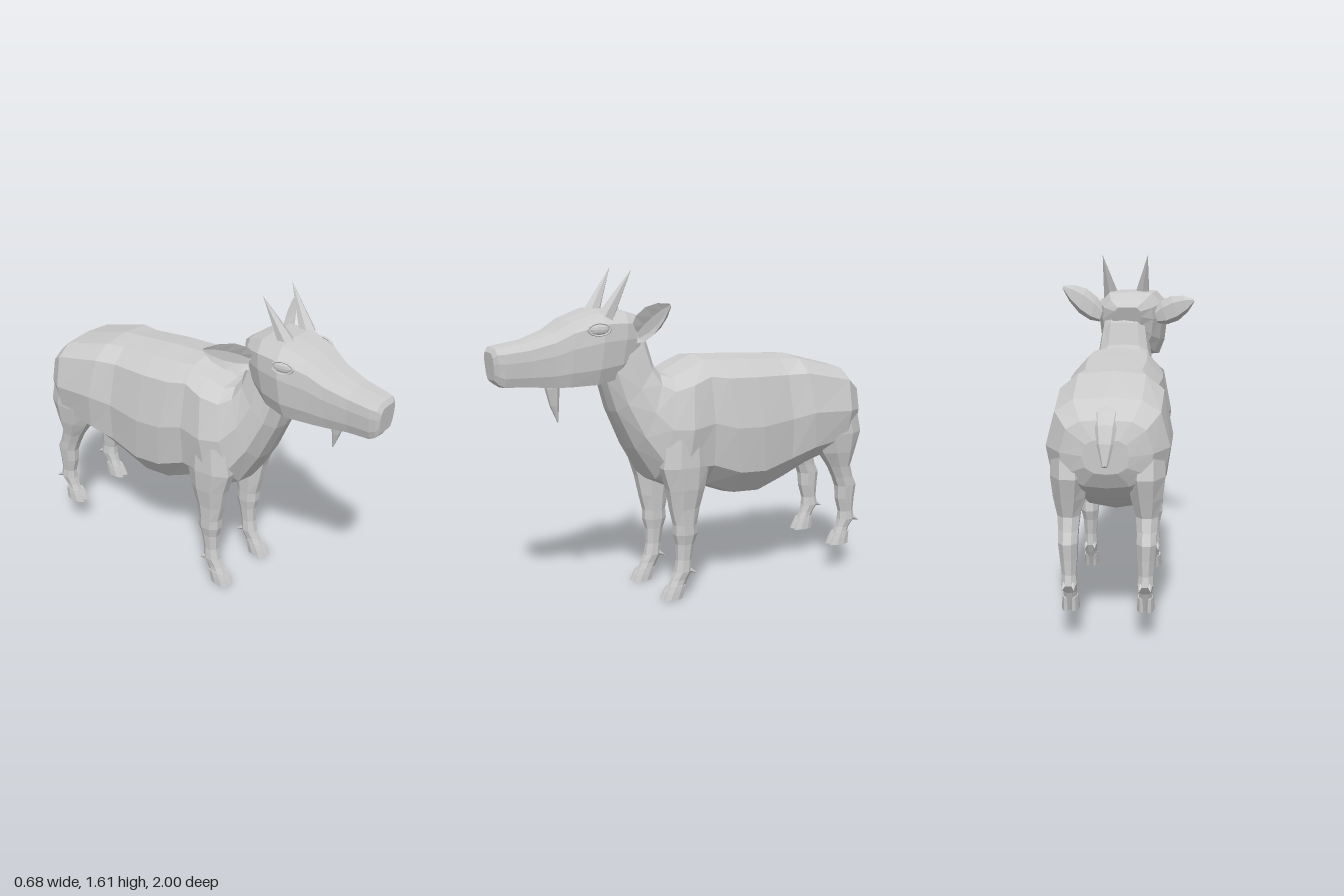
import * as THREE from 'three';

const coat = new THREE.MeshStandardMaterial({ color: 0xcccccc, flatShading: true });
coat.name = 'light grey coat';
const CX = 0.018; // body centre line
const V = (x, y, z) => new THREE.Vector3(x, y, z);

// Skin a list of equal-length rings, close both ends, keep faces outward.
function loft(name, rings) {
  const n = rings[0].length;
  const tris = [];
  for (let i = 0; i < rings.length - 1; i++) {
    for (let j = 0; j < n; j++) {
      const a = rings[i][j], b = rings[i][(j + 1) % n];
      const c = rings[i + 1][(j + 1) % n], d = rings[i + 1][j];
      tris.push([a, b, c], [a, c, d]);
    }
  }
  const cap = (ring, flip) => {
    const mid = ring.reduce((s, p) => s.add(p), V(0, 0, 0)).divideScalar(n);
    ring.forEach((p, j) => {
      const q = ring[(j + 1) % n];
      tris.push(flip ? [mid, q, p] : [mid, p, q]);
    });
  };
  cap(rings[0], true);
  cap(rings[rings.length - 1], false);
  let volume = 0;
  for (const [a, b, c] of tris) volume += a.dot(V(0, 0, 0).crossVectors(b, c));
  if (volume < 0) tris.forEach((t) => t.reverse());
  const geo = new THREE.BufferGeometry().setFromPoints(tris.flat());
  geo.computeVertexNormals();
  const mesh = new THREE.Mesh(geo, coat);
  mesh.name = name;
  return mesh;
}

// Ring between a top and a bottom point; half profile is [width, height] pairs.
function section(profile, [zt, yt, zb, yb, w, cx = CX]) {
  const at = (s) => ([u, t]) => V(cx + s * u * w, yb + (yt - yb) * t, zb + (zt - zb) * t);
  return [...profile.map(at(1)), ...profile.slice(1, -1).reverse().map(at(-1))];
}

// Horizontal eight-sided ring: height, front z, back z, half width, centre x.
function legRing([y, zf, zb, w, x]) {
  return Array.from({ length: 8 }, (_, i) => {
    const a = (i + 0.5) * Math.PI / 4;
    return V(x + w * 1.06 * Math.cos(a), y, (zf + zb) / 2 + (zf - zb) * 0.54 * Math.sin(a));
  });
}

// Tapered spike between two points
function spike(name, base, tip, radius, sides = 6) {
  const dir = tip.clone().sub(base);
  const geo = new THREE.ConeGeometry(radius, dir.length(), sides);
  const mesh = new THREE.Mesh(geo, coat);
  mesh.position.copy(base).addScaledVector(dir, 0.5);
  mesh.quaternion.setFromUnitVectors(V(0, 1, 0), dir.normalize());
  mesh.name = name;
  return mesh;
}

// Cupped leaf-shaped ear
function ear(name, root, tip, s) {
  const rows = [[0, 0.04, 0.025], [0.22, 0.065, 0.03], [0.5, 0.068, 0.026], [0.78, 0.045, 0.016], [1, 0.008, 0.004]];
  const up = V(-s * 0.28, 0.9, 0.2);
  return loft(name, rows.map(([t, w, d]) => {
    const c = root.clone().lerp(tip, t);
    const p = (u, z) => c.clone().addScaledVector(up, u * w).add(V(0, 0, z * d));
    return [p(1, 0.8), p(0.3, -0.1), p(-0.4, -0.1), p(-1, 0.8), p(-0.6, -0.8), p(0.5, -0.9)];
  }));
}

export function createModel() {
  const goat = new THREE.Group();
  goat.name = 'goat';

  // Torso and neck: top z, top y, bottom z, bottom y, half width
  const bodyProfile = [[0, 1], [0.55, 0.975], [0.85, 0.86], [1, 0.52], [0.9, 0.2], [0.5, 0.03], [0, 0]];
  goat.add(loft('torsoAndNeck', [
    [-0.945, 0.92, -0.94, 0.77, 0.10],
    [-0.92, 1.00, -0.90, 0.70, 0.20],
    [-0.83, 1.08, -0.80, 0.63, 0.268],
    [-0.56, 1.15, -0.62, 0.575, 0.275],
    [-0.46, 1.155, -0.50, 0.51, 0.235],
    [-0.25, 1.17, -0.34, 0.455, 0.255],
    [-0.10, 1.175, -0.20, 0.46, 0.25],
    [-0.02, 1.18, -0.04, 0.52, 0.228],
    [0.07, 1.14, 0.13, 0.53, 0.25],
    [0.15, 1.10, 0.24, 0.58, 0.215],
    [0.20, 1.11, 0.34, 0.74, 0.175],
    [0.23, 1.16, 0.43, 0.93, 0.145],
    [0.26, 1.27, 0.48, 1.09, 0.125],
    [0.31, 1.36, 0.51, 1.17, 0.11],
  ].map((r) => section(bodyProfile, r))));

  // Head, turned slightly toward its right
  const headProfile = [[0, 1], [0.68, 0.985], [0.96, 0.83], [1, 0.6], [0.92, 0.25], [0.76, 0.04], [0, 0]];
  goat.add(loft('head', [
    [0.24, 1.35, 0.29, 1.22, 0.07, 0.0],
    [0.29, 1.385, 0.34, 1.13, 0.13, 0.0],
    [0.38, 1.415, 0.42, 1.085, 0.165, -0.01],
    [0.50, 1.42, 0.53, 1.062, 0.178, -0.02],
    [0.64, 1.375, 0.66, 1.058, 0.145, -0.022],
    [0.72, 1.325, 0.73, 1.06, 0.122, -0.028],
    [0.84, 1.285, 0.84, 1.07, 0.098, -0.035],
    [0.95, 1.268, 0.95, 1.075, 0.088, -0.045],
    [0.985, 1.262, 0.975, 1.09, 0.08, -0.048],
    [1.0, 1.24, 0.99, 1.11, 0.062, -0.05],
  ].map((r) => section(headProfile, r))));

  // Beard, curving to a point
  goat.add(loft('beard', [
    [1.10, 0.755, 0.675, 0.032, 0.015], [1.06, 0.75, 0.685, 0.03, 0.015],
    [0.98, 0.73, 0.69, 0.02, 0.017], [0.90, 0.697, 0.691, 0.003, 0.018],
  ].map(legRing)));

  // Tail, arching over the rump
  goat.add(loft('tail', [
    [-0.83, 1.065, -0.83, 1.01, 0.035], [-0.89, 1.04, -0.88, 0.98, 0.055],
    [-0.95, 0.985, -0.925, 0.95, 0.045], [-0.985, 0.91, -0.955, 0.90, 0.035],
    [-1.0, 0.82, -0.982, 0.81, 0.012],
  ].map((r) => section([[0, 1], [0.7, 0.85], [1, 0.4], [0.6, 0.1], [0, 0]], r))));

  goat.add(ear('rightEar', V(-0.145, 1.295, 0.325), V(-0.34, 1.39, 0.21), -1));
  goat.add(ear('leftEar', V(0.14, 1.30, 0.335), V(0.332, 1.45, 0.265), 1));

  for (const s of [1, -1]) {
    const side = s > 0 ? 'left' : 'right';
    const x = (d) => CX + s * d;

    // Horn
    goat.add(spike(side + 'Horn', V(x(0.083), 1.39, 0.48), V(x(0.117), 1.607, 0.362), 0.042));

    // Eye: flattened ball inside a rim
    const eye = new THREE.Group();
    eye.name = side + 'Eye';
    const ball = new THREE.Mesh(new THREE.SphereGeometry(0.04, 10, 6), coat);
    ball.scale.set(1.15, 0.62, 0.3);
    ball.name = 'eyeball';
    const rim = new THREE.Mesh(new THREE.TorusGeometry(0.045, 0.007, 5, 12), coat);
    rim.scale.set(1.15, 0.62, 1);
    rim.name = 'eyelid';
    eye.add(ball, rim);
    eye.position.set(-0.018 + s * 0.17, 1.337, 0.535);
    eye.rotation.set(0, s * 1.42, 0);
    goat.add(eye);

    // Front leg, from shoulder to pastern
    goat.add(loft(side + 'FrontLeg', [
      [0.80, 0.22, 0.00, 0.06, x(0.17)], [0.66, 0.24, -0.01, 0.065, x(0.172)],
      [0.55, 0.205, 0.01, 0.06, x(0.17)], [0.45, 0.185, 0.035, 0.05, x(0.165)],
      [0.37, 0.165, 0.05, 0.046, x(0.165)], [0.32, 0.165, 0.045, 0.045, x(0.165)],
      [0.27, 0.152, 0.062, 0.036, x(0.163)], [0.19, 0.15, 0.075, 0.03, x(0.163)],
      [0.13, 0.162, 0.075, 0.034, x(0.163)], [0.09, 0.182, 0.095, 0.028, x(0.163)],
      [0.055, 0.20, 0.115, 0.03, x(0.163)],
    ].map(legRing)));

    // Hind leg, from haunch to pastern
    goat.add(loft(side + 'HindLeg', [
      [0.86, -0.62, -0.90, 0.08, x(0.165)], [0.74, -0.64, -0.925, 0.085, x(0.165)],
      [0.64, -0.695, -0.895, 0.07, x(0.168)], [0.56, -0.75, -0.872, 0.05, x(0.17)],
      [0.50, -0.78, -0.89, 0.044, x(0.17)], [0.45, -0.80, -0.915, 0.043, x(0.17)],
      [0.38, -0.805, -0.908, 0.038, x(0.168)], [0.31, -0.825, -0.905, 0.031, x(0.167)],
      [0.265, -0.822, -0.915, 0.035, x(0.166)], [0.225, -0.81, -0.885, 0.029, x(0.165)],
      [0.19, -0.795, -0.87, 0.03, x(0.165)],
    ].map(legRing)));

    // Cloven hooves and dewclaws
    const feet = [['Front', 0, 0.235, 0.135, 0.20, 0.115], ['Hind', 0.135, -0.762, -0.868, -0.795, -0.875]];
    for (const [end, y, zf, zb, tf, tb] of feet) {
      for (const t of [-1, 1]) {
        const toe = x(0.165) + t * 0.018;
        goat.add(loft(side + end + 'Toe', [
          [y + 0.065, tf, tb, 0.015, toe], [y + 0.035, (tf + zf) / 2, (tb + zb) / 2, 0.018, toe],
          [y, zf, zb, 0.02, toe],
        ].map(legRing)));
        goat.add(spike(side + end + 'Dewclaw', V(toe, y + 0.135, tb - 0.025), V(toe + t * 0.008, y + 0.118, tb - 0.062), 0.014, 5));
      }
    }
  }
  return goat;
}
